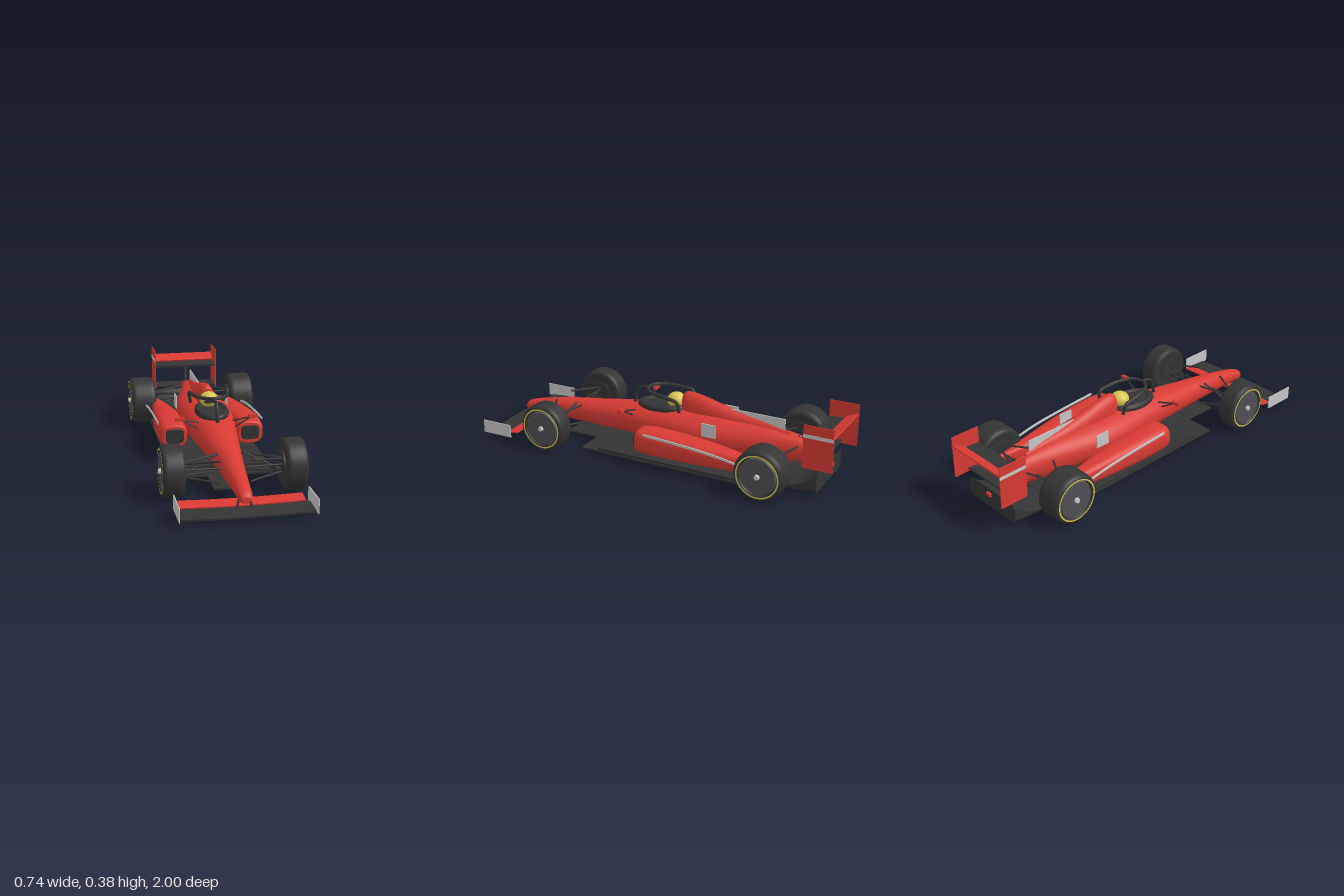
import * as THREE from 'three';

const paint = (name, color) => Object.assign(new THREE.MeshStandardMaterial({ color }), { name });

export function createModel() {
  const red = paint('red', 0xd83a33);
  const black = paint('black', 0x343434);
  const silver = paint('silver', 0xc8c8c8);
  const yellow = paint('yellow', 0xd8c650);
  const hubGrey = paint('hub grey', 0x505055);
  const model = new THREE.Group();
  model.name = 'raceCar';

  function add(name, geo, mat, x = 0, y = 0, z = 0, parent = model) {
    const m = new THREE.Mesh(geo, mat);
    m.name = name;
    m.position.set(x, y, z);
    parent.add(m);
    return m;
  }
  const box = (name, mat, w, h, d, x, y, z) => add(name, new THREE.BoxGeometry(w, h, d), mat, x, y, z);

  // Straight round bar between two points
  function rod(name, mat, a, b, r = 0.005) {
    const p = new THREE.Vector3(...a), q = new THREE.Vector3(...b), d = q.clone().sub(p);
    const m = add(name, new THREE.CylinderGeometry(r, r, d.length(), 8), mat);
    m.position.copy(p).add(q).multiplyScalar(0.5);
    m.quaternion.setFromUnitVectors(new THREE.Vector3(0, 1, 0), d.normalize());
    return m;
  }

  // Smooth skin through sections [z, centre x, bottom y, top y, half width], front to back
  function loft(sections, power = 2, steps = 4, n = 32) {
    const pos = [], idx = [], rings = [];
    const spline = (k, u) => {
      const i = Math.min(Math.floor(u), sections.length - 2), t = u - i;
      const at = j => sections[Math.max(0, Math.min(sections.length - 1, j))][k];
      const [a, b, c, d] = [at(i - 1), at(i), at(i + 1), at(i + 2)];
      return b + 0.5 * t * (c - a + t * (2 * a - 5 * b + 4 * c - d + t * (3 * (b - c) + d - a)));
    };
    const ring = u => {
      const start = pos.length / 3;
      const z = spline(0, u), cx = spline(1, u), lo = spline(2, u), hi = spline(3, u), w = spline(4, u);
      for (let j = 0; j < n; j++) {
        const t = j / n * Math.PI * 2, c = Math.cos(t), s = Math.sin(t);
        pos.push(cx + Math.sign(c) * Math.abs(c) ** (2 / power) * w,
          (lo + hi) / 2 + Math.sign(s) * Math.abs(s) ** (2 / power) * (hi - lo) / 2, z);
      }
      return { start, centre: [cx, (lo + hi) / 2, z] };
    };
    const total = (sections.length - 1) * steps;
    for (let i = 0; i <= total; i++) rings.push(ring(i / steps));
    for (let i = 0; i < total; i++) for (let j = 0; j < n; j++) {
      const k = (j + 1) % n, a = rings[i].start, b = rings[i + 1].start;
      idx.push(a + j, b + j, a + k, a + k, b + j, b + k);
    }
    for (const front of [true, false]) {
      const cap = ring(front ? 0 : sections.length - 1), c = pos.length / 3;
      pos.push(...cap.centre);
      for (let j = 0; j < n; j++) {
        const a = cap.start + j, b = cap.start + (j + 1) % n;
        idx.push(c, front ? a : b, front ? b : a);
      }
    }
    const g = new THREE.BufferGeometry();
    g.setAttribute('position', new THREE.Float32BufferAttribute(pos, 3));
    g.setIndex(idx);
    g.computeVertexNormals();
    return g;
  }

  // Fuselage and engine cover
  add('body', loft([
    [0.925, 0, 0.072, 0.1, 0.022], [0.9, 0, 0.063, 0.122, 0.034], [0.8, 0, 0.062, 0.15, 0.042],
    [0.6, 0, 0.064, 0.188, 0.06], [0.4, 0, 0.067, 0.215, 0.083], [0.2, 0, 0.068, 0.245, 0.108],
    [0, 0, 0.068, 0.262, 0.134], [-0.2, 0, 0.068, 0.27, 0.149], [-0.35, 0, 0.068, 0.268, 0.138],
    [-0.55, 0, 0.07, 0.255, 0.092], [-0.72, 0, 0.085, 0.23, 0.05], [-0.86, 0, 0.125, 0.195, 0.025]], 2.1), red);
  add('engineCover', loft([
    [-0.095, 0, 0.24, 0.345, 0.03], [-0.12, 0, 0.2, 0.361, 0.044], [-0.2, 0, 0.18, 0.352, 0.05],
    [-0.32, 0, 0.18, 0.322, 0.048], [-0.45, 0, 0.18, 0.292, 0.038], [-0.58, 0, 0.18, 0.27, 0.025],
    [-0.7, 0, 0.17, 0.245, 0.012]]), red);
  const finShape = new THREE.Shape([[0.34, 0.309], [0.675, 0.309], [0.675, 0.23], [0.45, 0.27]]
    .map(p => new THREE.Vector2(...p)));
  const fin = new THREE.ExtrudeGeometry(finShape, { depth: 0.006, bevelEnabled: false });
  add('engineFin', fin.rotateY(Math.PI / 2), silver, -0.003);

  // Floor and diffuser
  box('floor', black, 0.5, 0.022, 1.05, 0, 0.031, -0.225);
  box('frontFloor', black, 0.51, 0.01, 1.15, 0, 0.023, -0.175);
  box('floorTongue', black, 0.18, 0.01, 0.22, 0, 0.021, 0.48);
  add('diffuser', loft([[-0.72, 0, 0.018, 0.04, 0.18], [-0.8, 0, 0.018, 0.055, 0.18],
    [-0.87, 0, 0.019, 0.09, 0.18], [-0.92, 0, 0.022, 0.13, 0.18]], 7, 3, 48), black);

  // Cockpit surround, helmet and head guard
  const rim = add('cockpitRim', new THREE.TorusGeometry(0.074, 0.017, 12, 36).rotateX(Math.PI / 2), black, 0, 0.26, 0.035);
  rim.scale.set(1, 1.1, 1.6);
  rim.rotation.x = 0.04;
  const seat = add('cockpitOpening', new THREE.CylinderGeometry(0.075, 0.075, 0.02, 32), black, 0, 0.258, 0.035);
  seat.scale.z = 1.6;
  const helmet = add('helmet', new THREE.SphereGeometry(0.05, 28, 18), yellow, 0, 0.3, -0.048);
  helmet.scale.set(1, 0.85, 1);
  const visor = add('visor', new THREE.SphereGeometry(0.0515, 16, 6, Math.PI / 2 - 0.65, 1.3, 1.4, 0.4), black, 0, 0.3, -0.048);
  visor.scale.set(1, 0.85, 1);
  const tube = (name, points, r) => add(name, new THREE.TubeGeometry(
    new THREE.CatmullRomCurve3(points.map(p => new THREE.Vector3(...p))), 40, r, 10), black);
  tube('headGuardHoop', [[-0.09, 0.27, -0.11], [-0.1, 0.325, -0.1], [-0.097, 0.338, -0.04], [-0.08, 0.344, 0.05],
    [-0.045, 0.347, 0.1], [0, 0.348, 0.115], [0.045, 0.347, 0.1], [0.08, 0.344, 0.05],
    [0.097, 0.338, -0.04], [0.1, 0.325, -0.1], [0.09, 0.27, -0.11]], 0.0095);
  tube('headGuardPillar', [[0, 0.235, 0.205], [0, 0.29, 0.198], [0, 0.328, 0.178], [0, 0.346, 0.115]], 0.0095);

  // Flat wing plane: front and rear edges bowed forward at the middle
  function bowedPlane(name, mat, half, front, back, bow, thick, y, tilt) {
    const s = new THREE.Shape();
    s.moveTo(-half, back);
    s.quadraticCurveTo(0, back + bow * 2, half, back);
    s.lineTo(half, front);
    s.quadraticCurveTo(0, front + bow * 2, -half, front);
    const g = new THREE.ExtrudeGeometry(s, { depth: thick, bevelEnabled: false, curveSegments: 16 });
    const mid = (front + back) / 2;
    const m = add(name, g.rotateX(Math.PI / 2).translate(0, thick / 2, -mid), mat, 0, y, mid);
    m.rotation.x = tilt;
  }
  bowedPlane('frontWingMain', black, 0.323, 0.97, 0.855, 0.014, 0.009, 0.028, 0.06);
  bowedPlane('frontWingFlap', red, 0.302, 0.857, 0.79, 0.01, 0.008, 0.044, 0.2);

  // Rear wing planes and supports
  box('rearWingMain', black, 0.365, 0.012, 0.1, 0, 0.293, -0.895).rotation.x = 0.07;
  box('rearWingFlap', red, 0.365, 0.008, 0.072, 0, 0.32, -0.965).rotation.x = 0.42;
  box('beamWing', black, 0.365, 0.01, 0.07, 0, 0.168, -0.885).rotation.x = 0.15;
  rod('rearWingPillar', black, [0, 0.17, -0.835], [0, 0.29, -0.88], 0.009);
  box('rainLight', red, 0.03, 0.018, 0.012, 0, 0.115, -0.937);

  // Wheel with its axle along y and its outside at +y
  function wheel(name, s, x, z, R, w) {
    const g = new THREE.Group();
    g.name = name;
    g.position.set(s * x, R + 0.003, z);
    g.rotation.z = -s * Math.PI / 2;
    const outline = [[0.5, -0.9], [0.7, -0.92], [0.84, -1], [0.93, -0.93], [0.985, -0.78], [1, -0.55],
      [1, 0.55], [0.985, 0.78], [0.93, 0.93], [0.86, 1], [0.8, 1], [0.76, 0.9], [0.74, 0.8]];
    add('tyre', new THREE.LatheGeometry(outline.map(p => new THREE.Vector2(p[0] * R, p[1] * w)), 48), black, 0, 0, 0, g);
    add('tyreBand', new THREE.RingGeometry(0.8 * R, 0.86 * R, 48).rotateX(-Math.PI / 2), yellow, 0, w + 0.0015, 0, g);
    add('wheelCover', new THREE.CylinderGeometry(0.7 * R, 0.77 * R, w * 0.4, 40), hubGrey, 0, w * 0.75, 0, g);
    add('wheelNut', new THREE.CylinderGeometry(0.012, 0.016, 0.02, 12), silver, 0, w, 0, g);
    add('brakeDrum', new THREE.CylinderGeometry(0.52 * R, 0.52 * R, w * 1.1, 28), black, 0, -w * 0.5, 0, g);
    model.add(g);
  }

  for (const s of [1, -1]) {
    const side = s > 0 ? 'left' : 'right';
    wheel(side + 'FrontWheel', s, 0.302, 0.592, 0.131, 0.054);
    wheel(side + 'RearWheel', s, 0.291, -0.678, 0.134, 0.071);

    // Sidepod, intake and trim strip
    add(side + 'Sidepod', loft([
      [0.065, s * 0.205, 0.078, 0.188, 0.062], [0.04, s * 0.208, 0.068, 0.2, 0.073], [-0.05, s * 0.21, 0.065, 0.204, 0.076],
      [-0.2, s * 0.207, 0.065, 0.196, 0.075], [-0.35, s * 0.205, 0.066, 0.183, 0.064], [-0.5, s * 0.205, 0.07, 0.165, 0.046],
      [-0.62, s * 0.21, 0.08, 0.15, 0.03], [-0.7, s * 0.212, 0.095, 0.138, 0.015]], 2.9), red);
    add(side + 'Intake', loft([[0.08, s * 0.205, 0.1, 0.172, 0.046], [0.055, s * 0.205, 0.098, 0.175, 0.05]], 5, 1), black);
    add(side + 'TrimStrip', loft([[0, s * 0.285, 0.184, 0.199, 0.003], [-0.2, s * 0.285, 0.173, 0.188, 0.003],
      [-0.4, s * 0.285, 0.155, 0.17, 0.003], [-0.55, s * 0.283, 0.13, 0.143, 0.003]], 4, 4, 12), silver);
    box(side + 'SidePanel', silver, 0.006, 0.072, 0.08, s * 0.145, 0.225, -0.308);

    // Mirrors
    box(side + 'Mirror', red, 0.05, 0.018, 0.018, s * 0.195, 0.263, 0.18);
    rod(side + 'MirrorStay', black, [s * 0.09, 0.235, 0.155], [s * 0.18, 0.257, 0.178], 0.004);
    rod(side + 'MirrorBrace', black, [s * 0.1, 0.205, 0.17], [s * 0.178, 0.254, 0.178], 0.004);

    // Suspension arms: [inner point, outer point]
    const arms = [
      [[0.06, 0.18, 0.52], [0.255, 0.165, 0.59]], [[0.075, 0.192, 0.672], [0.255, 0.165, 0.6]],
      [[0.06, 0.085, 0.5], [0.255, 0.1, 0.585]], [[0.075, 0.082, 0.672], [0.255, 0.1, 0.6]],
      [[0.06, 0.135, 0.612], [0.255, 0.138, 0.612]], [[0.065, 0.19, 0.55], [0.25, 0.105, 0.59]],
      [[0.07, 0.19, -0.58], [0.24, 0.175, -0.67]], [[0.04, 0.19, -0.76], [0.24, 0.175, -0.685]],
      [[0.07, 0.1, -0.58], [0.24, 0.095, -0.67]], [[0.04, 0.12, -0.76], [0.24, 0.095, -0.685]],
      [[0.04, 0.137, -0.678], [0.24, 0.137, -0.678]]];
    arms.forEach(([a, b], i) => rod(side + (i < 6 ? 'FrontArm' : 'RearArm'), black,
      [s * a[0], a[1], a[2]], [s * b[0], b[1], b[2]], 0.0055));

    // Wing end plates and nose pylons
    box(side + 'FrontEndPlate', silver, 0.005, 0.072, 0.18, s * 0.325, 0.06, 0.91);
    rod(side + 'NosePylon', black, [s * 0.025, 0.075, 0.87], [s * 0.037, 0.03, 0.885], 0.006);
    box(side + 'RearEndPlate', red, 0.005, 0.23, 0.158, s * 0.186, 0.27, -0.921);
    box(side + 'RearPlateStripe', silver, 0.002, 0.018, 0.158, s * 0.1892, 0.327, -0.921);
  }
  return model;
}
